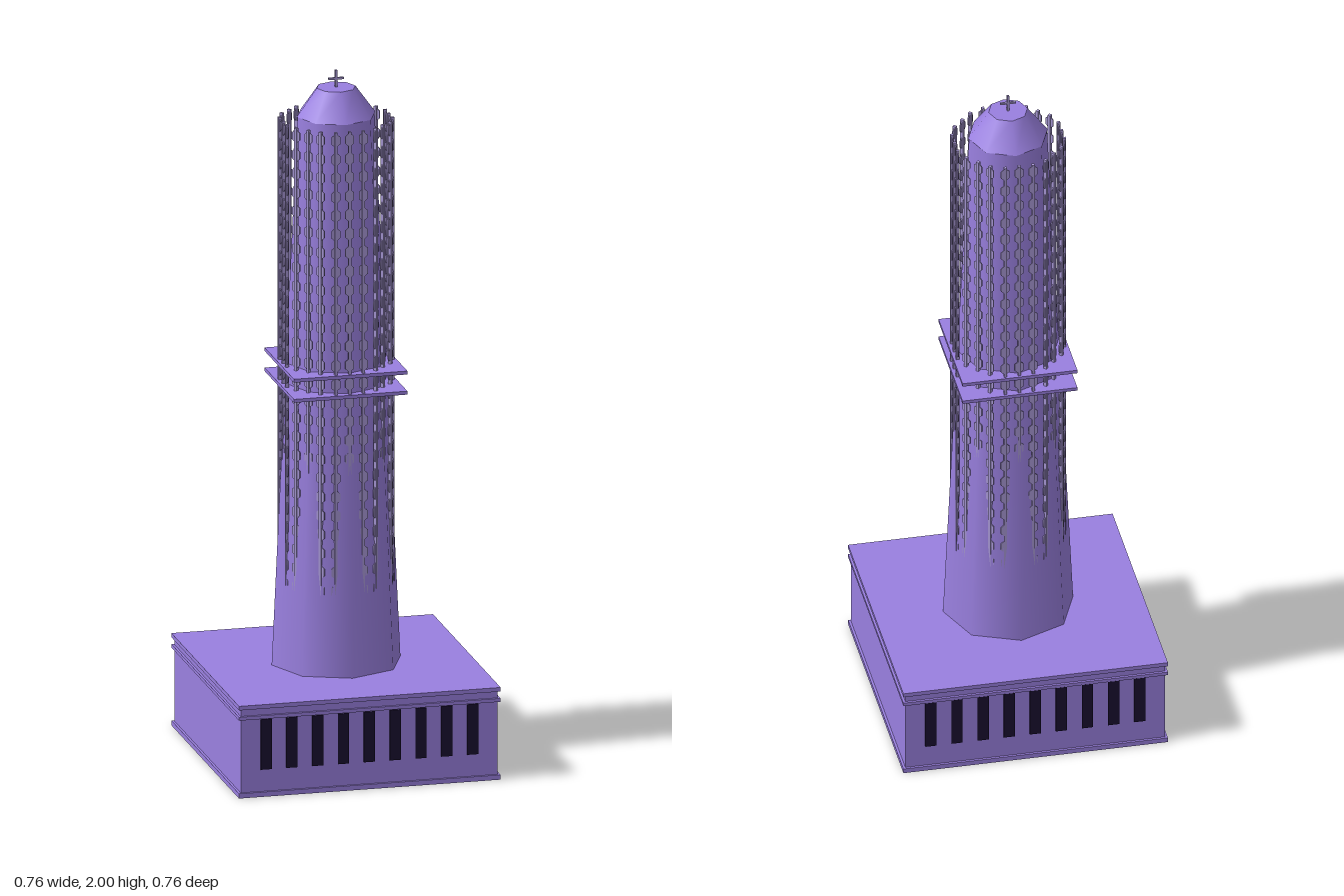
import * as THREE from 'three';
import { mergeGeometries } from 'three/addons/utils/BufferGeometryUtils.js';

export function createModel() {
  const model = new THREE.Group();
  const wall = new THREE.MeshStandardMaterial({ color: 0x9a80e0 });
  const trim = new THREE.MeshStandardMaterial({ color: 0xa898d6 });
  const dark = new THREE.MeshStandardMaterial({ color: 0x1a1030 });

  const add = (name, geometry, material, x = 0, y = 0, z = 0, parent = model) => {
    const mesh = new THREE.Mesh(geometry, material);
    mesh.name = name;
    mesh.position.set(x, y, z);
    parent.add(mesh);
    return mesh;
  };
  // Square slab given by its width and its lower and upper height
  const slab = (name, width, y0, y1) =>
    add(name, new THREE.BoxGeometry(width, y1 - y0, width), wall, 0, (y0 + y1) / 2, 0);

  // Square podium with three mouldings
  slab('podium', 0.746, 0.005, 0.265);
  slab('footMoulding', 0.76, 0, 0.014);
  slab('lowerCornice', 0.76, 0.228, 0.238);
  slab('upperCornice', 0.76, 0.258, 0.27);

  // Nine tall windows on the front and the back
  const windowGeometry = new THREE.BoxGeometry(0.032, 0.147, 0.008);
  for (const side of [1, -1]) {
    for (let i = -4; i <= 4; i++) {
      add('podiumWindow', windowGeometry, dark, i * 0.075, 0.152, side * 0.373);
    }
  }

  // Tapering eight-sided shaft and its truncated roof
  add('shaft', new THREE.CylinderGeometry(0.112, 0.187, 1.6, 8), wall, 0, 1.07, 0);
  add('roof', new THREE.CylinderGeometry(0.056, 0.114, 0.08, 8), wall, 0, 1.91, 0);

  // Two square balcony plates
  slab('lowerBalcony', 0.33, 1.083, 1.093);
  slab('upperBalcony', 0.33, 1.142, 1.152);

  // One ornamental strip: a slim post threaded through hexagonal plaques
  const top = 1.862, bottom = 0.42, pitch = 0.055;
  const post = new THREE.BoxGeometry(0.008, top - bottom, 0.01);
  post.translate(0, (top + bottom) / 2, 0);
  const pieces = [post];
  for (let y = top - 0.024; y > bottom; y -= pitch) {
    const plaque = new THREE.CylinderGeometry(0.0145, 0.0145, 0.003, 6);
    plaque.rotateX(Math.PI / 2);
    plaque.scale(1, 1.45, 1);
    plaque.translate(0, y, 0);
    pieces.push(plaque);
  }
  const stripGeometry = mergeGeometries(pieces);

  // Three strips on each of eight sides, sinking into the widening shaft
  for (let i = 0; i < 8; i++) {
    const screen = new THREE.Group();
    screen.name = 'ornamentalScreen';
    screen.rotation.y = (i * Math.PI) / 4;
    for (const x of [-0.04, 0, 0.04]) add('ornamentalStrip', stripGeometry, trim, x, 0, 0.153, screen);
    model.add(screen);
  }

  // Cross-shaped finial
  add('finialPost', new THREE.BoxGeometry(0.006, 0.055, 0.006), trim, 0, 1.9725, 0);
  add('finialBar', new THREE.BoxGeometry(0.044, 0.006, 0.006), trim, 0, 1.975, 0);

  return model;
}
